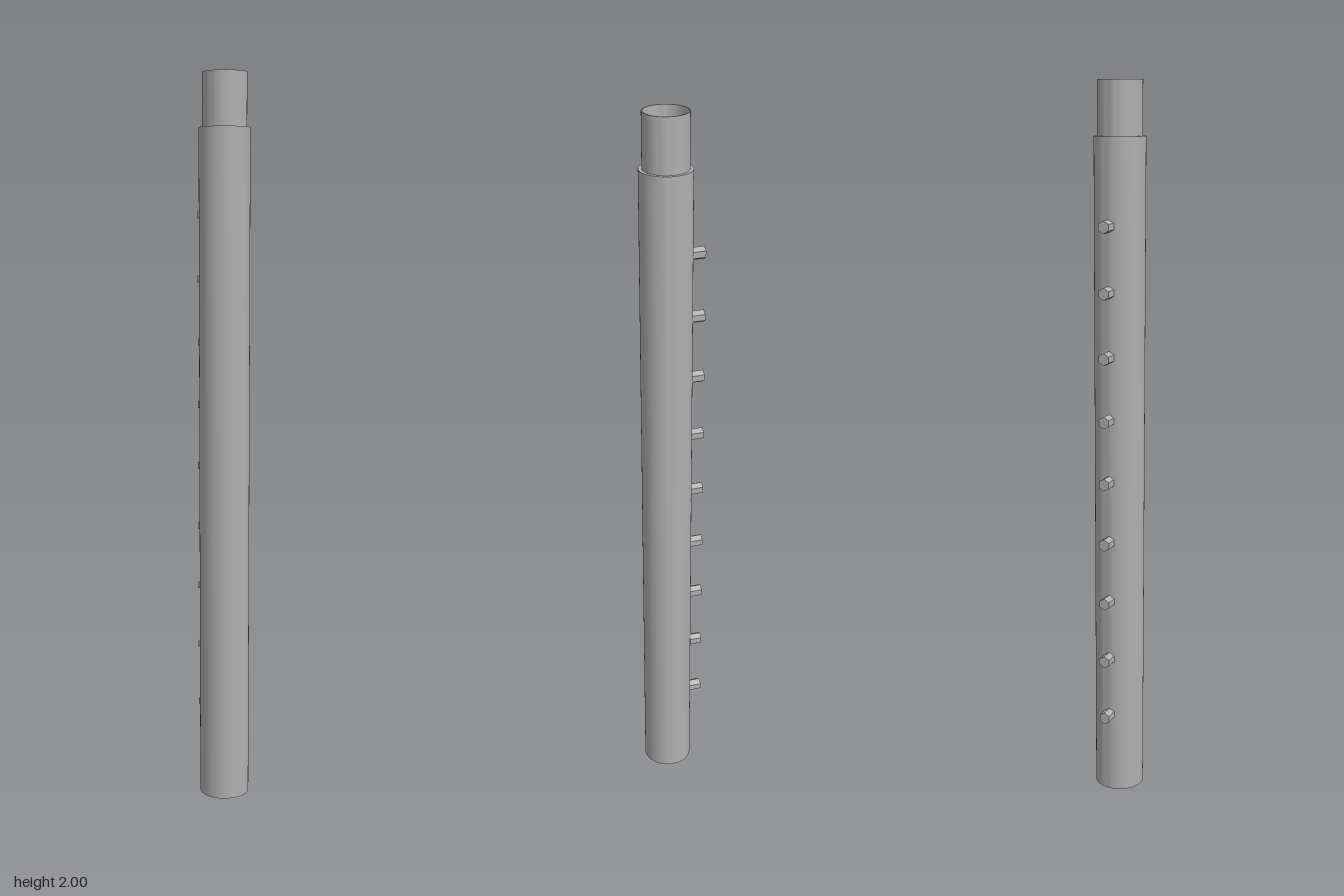
import * as THREE from 'three';
import { toCreasedNormals } from 'three/addons/utils/BufferGeometryUtils.js';

export function createModel() {
  const model = new THREE.Group();
  model.name = 'peggedTube';
  const steel = new THREE.MeshStandardMaterial({ color: 0xb0b0b0 });
  steel.name = 'grey steel';

  // Both tubes share an axis set slightly forward, balancing the pegs behind
  const body = new THREE.Group();
  body.name = 'body';
  body.position.z = 0.016;
  model.add(body);

  // Hollow tube: closed wall profile spun around the axis
  function tube(name, inner, outer, y0, y1) {
    const wall = [[inner, y0], [outer, y0], [outer, y1], [inner, y1], [inner, y0]]
      .map(([r, y]) => new THREE.Vector2(r, y));
    const mesh = new THREE.Mesh(toCreasedNormals(new THREE.LatheGeometry(wall, 48), 0.6), steel);
    mesh.name = name;
    body.add(mesh);
  }
  tube('outerTube', 0.06, 0.069, 0, 1.858);
  tube('innerTube', 0.057, 0.06, 1.7, 2);

  // Row of hexagonal pegs down the back, each with a ridge on top
  const start = 0.062, end = 0.1025;
  const pegGeometry = toCreasedNormals(
    new THREE.CylinderGeometry(0.017, 0.017, end - start, 6)
      .rotateX(-Math.PI / 2)
      .translate(0, 0, -(start + end) / 2)
      .rotateY(THREE.MathUtils.degToRad(10)), 0.6);
  for (let i = 0; i < 9; i++) {
    const peg = new THREE.Mesh(pegGeometry, steel);
    peg.name = `peg${i + 1}`;
    peg.position.y = 0.238 + i * 0.174;
    body.add(peg);
  }
  return model;
}
